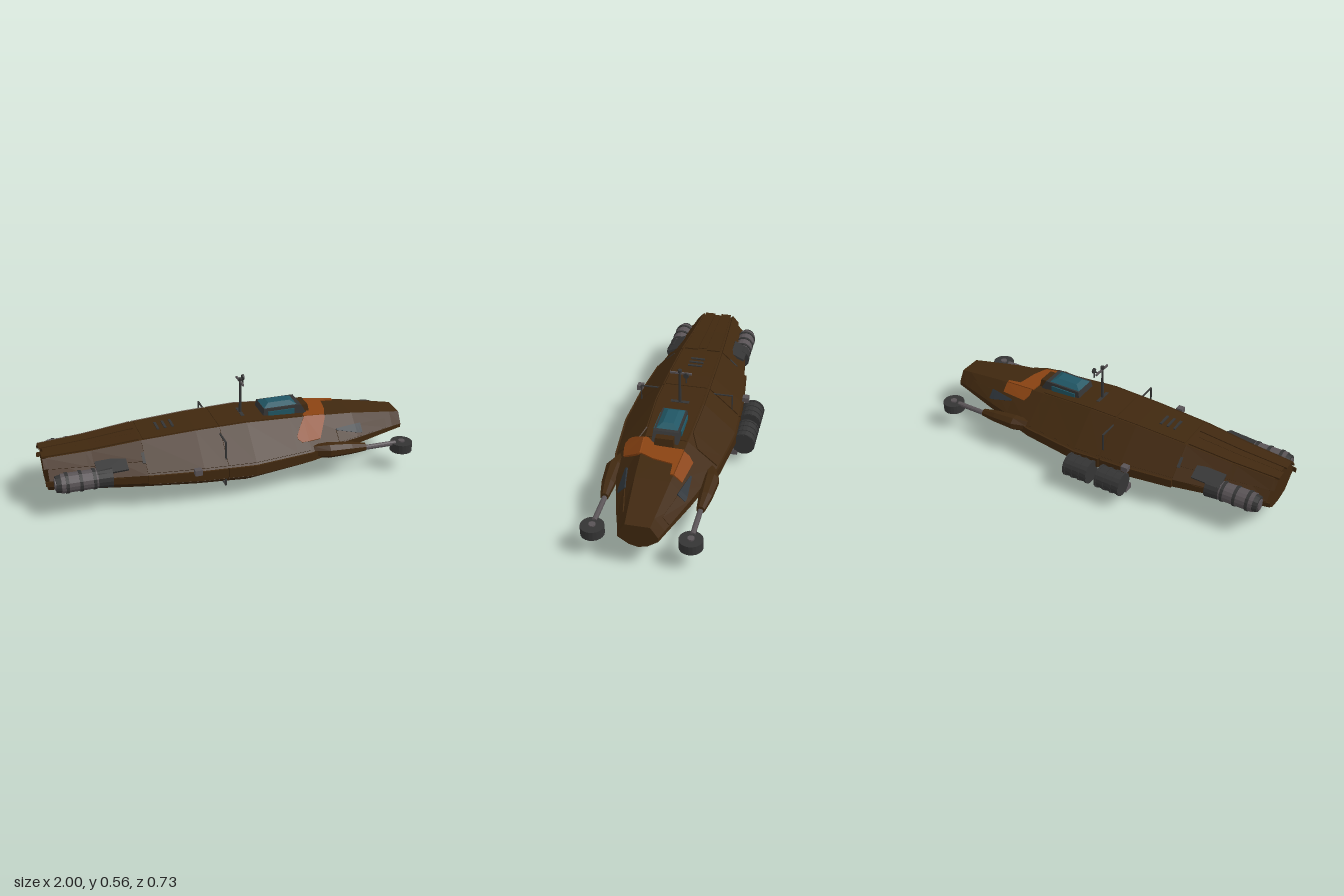
import * as THREE from 'three';

const CZ = 0.045; // centre line of the hull
const mat = (name, color) => Object.assign(new THREE.MeshStandardMaterial({ color, flatShading: true }), { name });

// hull stations: x, top, bottom, half width, top flat half width, bottom flat half width
const ST = [
  [-0.98, 0.296, 0.096, 0.165, 0.085, 0.08], [-0.75, 0.308, 0.073, 0.205, 0.098, 0.095],
  [-0.49, 0.333, 0.047, 0.255, 0.112, 0.11], [-0.2, 0.348, 0.02, 0.287, 0.12, 0.12],
  [0.08, 0.354, 0.002, 0.3, 0.125, 0.125], [0.4, 0.334, 0.036, 0.268, 0.112, 0.115],
  [0.7, 0.303, 0.078, 0.19, 0.09, 0.085], [0.94, 0.264, 0.117, 0.118, 0.068, 0.053],
  [1, 0.254, 0.126, 0.1, 0.062, 0.045],
];

function section(x) {
  let i = 0;
  while (i < ST.length - 2 && x > ST[i + 1][0]) i++;
  const a = ST[i], b = ST[i + 1], t = (x - a[0]) / (b[0] - a[0]);
  const [, top, bot, w, f, g] = a.map((v, k) => v + (b[k] - v) * t);
  const yu = bot + 0.54 * (top - bot), yl = bot + 0.38 * (top - bot);
  // edges: 0 upper slope, 1 side, 2 lower slope, 3-4 bottom, 5 lower slope, 6 side, 7 upper slope, 8 top
  return [[f, top], [w, yu], [w, yl], [g, bot + 0.01], [0, bot], [-g, bot + 0.01], [-w, yl], [-w, yu], [-f, top]]
    .map(([z, y]) => new THREE.Vector3(x, y, CZ + z));
}

// closed body through equal rings, ordered by growing x
function loft(rings) {
  const pos = [], n = rings[0].length;
  const tri = (...p) => p.forEach(v => pos.push(v.x, v.y, v.z));
  for (let i = 0; i < rings.length - 1; i++) for (let k = 0; k < n; k++) {
    const a = rings[i][k], b = rings[i][(k + 1) % n], c = rings[i + 1][(k + 1) % n], d = rings[i + 1][k];
    tri(a, b, c); tri(a, c, d);
  }
  const s = rings[0], e = rings[rings.length - 1];
  for (let k = 1; k < n - 1; k++) { tri(s[0], s[k + 1], s[k]); tri(e[0], e[k], e[k + 1]); }
  const g = new THREE.BufferGeometry();
  g.setAttribute('position', new THREE.Float32BufferAttribute(pos, 3));
  g.computeVertexNormals();
  return g;
}

// plate lying on one hull edge; rows are [x, s0, s1] along that edge
function plateGeometry(edge, rows, h) {
  const all = [];
  rows.forEach((r, i) => {
    all.push(r);
    const q = rows[i + 1];
    if (q) ST.forEach(s => {
      if (s[0] > r[0] + 1e-4 && s[0] < q[0] - 1e-4) {
        const t = (s[0] - r[0]) / (q[0] - r[0]);
        all.push([s[0], r[1] + (q[1] - r[1]) * t, r[2] + (q[2] - r[2]) * t]);
      }
    });
  });
  return loft(all.map(([x, s0, s1]) => {
    const s = section(x), a = s[edge], b = s[(edge + 1) % 9], d = b.clone().sub(a).normalize();
    const n = new THREE.Vector3(0, d.z, -d.y);
    const at = (t, o) => a.clone().lerp(b, t).addScaledVector(n, o);
    return [at(s0, h), at(s1, h), at(s1, -0.003), at(s0, -0.003)];
  }));
}

export function createModel() {
  const root = new THREE.Group();
  const hullM = mat('hull brown', 0x40280f), orange = mat('rust orange', 0x8a4312), dark = mat('dark grey', 0x343434);
  const grey = mat('worn grey', 0x595356), teal = mat('canopy teal', 0x205664), slate = mat('window slate', 0x2b3238);
  const add = (name, geo, m, x = 0, y = 0, z = 0) => {
    const o = new THREE.Mesh(geo, m);
    o.name = name; o.position.set(x, y, z); root.add(o);
    return o;
  };
  const box = (name, m, x, y, z, w, h, d) => add(name, new THREE.BoxGeometry(w, h, d), m, x, y, z);
  const cyl = (name, m, axis, r0, r1, len, x, y, z, n = 16) => {
    const g = new THREE.CylinderGeometry(r1, r0, len, n);
    if (axis === 'x') g.rotateZ(-Math.PI / 2);
    if (axis === 'z') g.rotateX(Math.PI / 2);
    return add(name, g, m, x, y, z);
  };
  const plate = (name, m, edge, rows, h = 0.006) => add(name, plateGeometry(edge, rows, h), m);
  // the same plate on both sides
  const pair = (name, m, edge, rows, h) => {
    plate(name, m, edge, rows, h);
    plate(name, m, 7 - edge, rows.map(([x, a, b]) => [x, 1 - b, 1 - a]), h);
  };

  add('hull', loft(ST.map(s => section(s[0]))), hullM);

  // armour plates
  plate('topRearPlate', hullM, 8, [[-1, 0.04, 0.38], [-0.5, 0.04, 0.38]], 0.007);
  plate('topRearPlate', hullM, 8, [[-0.985, 0.4, 0.6], [-0.52, 0.4, 0.6]], 0.005);
  plate('topRearPlate', hullM, 8, [[-1, 0.62, 0.96], [-0.5, 0.62, 0.96]], 0.007);
  plate('topMidPlate', hullM, 8, [[-0.48, 0.03, 0.97], [-0.08, 0.03, 0.97]], 0.004);
  plate('topFrontPlate', hullM, 8, [[-0.07, 0.03, 0.97], [0.4, 0.03, 0.97]], 0.004);
  pair('rearShoulderPlate', hullM, 0, [[-1, 0.03, 0.5], [-0.78, 0.03, 0.55], [-0.5, 0.03, 0.6]], 0.007);
  pair('shoulderPlate', hullM, 0, [[-0.49, 0.03, 0.95], [-0.08, 0.03, 0.95]], 0.006);
  pair('shoulderPlate', hullM, 0, [[-0.07, 0.03, 0.95], [0.32, 0.03, 0.95], [0.4, 0.3, 0.95]], 0.006);
  pair('sideBelt', hullM, 1, [[-0.49, 0, 1], [-0.08, 0, 1]], 0.01);
  pair('sideBelt', hullM, 1, [[-0.07, 0, 1], [0.5, 0, 1]], 0.01);
  pair('noseShoulderPlate', hullM, 0, [[0.58, 0.55, 0.97], [0.9, 0.4, 0.97]], 0.004);
  pair('lowerPlate', hullM, 2, [[-0.45, 0.05, 0.5], [-0.08, 0.05, 0.6]], 0.005);
  pair('lowerPlate', hullM, 2, [[-0.07, 0.05, 0.6], [0.38, 0.05, 0.5]], 0.005);
  pair('rearSidePlate', hullM, 1, [[-1, 0.1, 0.9], [-0.6, 0.1, 0.9]], 0.004);

  // painted band across the bow
  plate('bowStripe', orange, 8, [[0.41, 0.92, 1], [0.465, 0.66, 1], [0.47, 0, 1], [0.53, 0, 1], [0.56, 0, 0.66], [0.58, 0, 0.13], [0.655, 0, 0.08]], 0.007);
  plate('bowStripeRight', orange, 7, [[0.48, 0.8, 1], [0.5, 0.62, 1], [0.655, 0.62, 1]], 0.007);
  plate('bowStripeLeft', orange, 0, [[0.34, 0.52, 0.6], [0.36, 0.35, 0.7], [0.41, 0, 0.7], [0.47, 0, 0.7], [0.53, 0, 0.08]], 0.009);
  plate('lowerStripe', orange, 5, [[0.42, 0.05, 0.97], [0.55, 0.05, 0.97]], 0.007);

  // side windows, vents and hatch lines
  pair('sideWindow', slate, 0, [[0.58, 0.5, 0.56], [0.72, 0.45, 0.85], [0.735, 0.45, 0.85]], 0.007);
  for (let i = 0; i < 3; i++) box('vent', dark, -0.38 + i * 0.04, 0.346 + i * 0.002, CZ, 0.013, 0.006, 0.08);
  pair('hatchSeam', dark, 0, [[-0.505, 0.35, 0.65], [-0.49, 0.35, 0.65]], 0.008);
  plate('mastHatch', dark, 8, [[0.075, 0.3, 0.7], [0.095, 0.3, 0.7]], 0.006);

  // canopy
  const frustum = (x0, x1, x2, x3, y0, y1, w0, w1) => {
    const q = (x, y, w) => new THREE.Vector3(x, y, CZ + w);
    const end = (xb, xt) => [q(xt, y1, w1), q(xb, y0, w0), q(xb, y0, -w0), q(xt, y1, -w1)];
    return loft([end(x0, x1), end(x3, x2)]);
  };
  add('canopyFrame', frustum(0.19, 0.2, 0.41, 0.44, 0.335, 0.386, 0.07, 0.066), dark);
  add('canopyGlass', frustum(0.2, 0.235, 0.355, 0.39, 0.385, 0.404, 0.058, 0.028), teal);
  for (const s of [-1, 1]) box('canopySideGlass', teal, 0.295, 0.356, CZ + s * 0.071, 0.15, 0.03, 0.006);
  add('canopyCowl', frustum(0.38, 0.38, 0.455, 0.465, 0.32, 0.372, 0.053, 0.047), hullM);

  // sensor mast
  cyl('mast', dark, 'y', 0.008, 0.006, 0.2, 0.085, 0.455, CZ, 8);
  cyl('mastCap', dark, 'y', 0.011, 0.011, 0.015, 0.085, 0.55, CZ, 8);
  box('mastCrossbar', grey, 0.085, 0.537, 0.039, 0.009, 0.01, 0.117);
  cyl('sensorDish', dark, 'x', 0.015, 0.015, 0.01, 0.113, 0.542, 0.005, 12);
  cyl('sensorStem', dark, 'y', 0.004, 0.004, 0.045, 0.113, 0.521, 0.005, 6);
  box('sensorLink', dark, 0.1, 0.537, 0.005, 0.03, 0.006, 0.006);

  for (const s of [-1, 1]) {
    const z = d => CZ + s * d;
    // engine
    const ez = z(0.193), ey = 0.197;
    cyl('engineCollar', dark, 'x', 0.052, 0.058, 0.075, -0.705, ey, ez);
    cyl('engineBody', grey, 'x', 0.051, 0.051, 0.2, -0.83, ey, ez);
    for (const x of [-0.76, -0.83, -0.9]) cyl('engineBand', dark, 'x', 0.055, 0.055, 0.016, x, ey, ez);
    cyl('engineNozzle', dark, 'x', 0.042, 0.05, 0.04, -0.935, ey, ez);
    cyl('engineExhaust', grey, 'x', 0.03, 0.03, 0.012, -0.955, ey, ez, 12);
    const cover = box('engineCover', dark, -0.665, 0.253, z(0.19), 0.16, 0.012, 0.085);
    cover.rotation.set(s * 0.45, 0, 0.06);

    // landing arm
    const ring = (x, y, d, hy, hz) => Array.from({ length: 8 }, (_, k) => {
      const a = (k + 0.5) * Math.PI / 4;
      return new THREE.Vector3(x, y + Math.cos(a) * hy, z(d) + Math.sin(a) * hz);
    });
    add('armFairing', loft([ring(0.42, 0.185, 0.235, 0.035, 0.03), ring(0.5, 0.187, 0.252, 0.042, 0.046),
      ring(0.63, 0.178, 0.25, 0.034, 0.036), ring(0.72, 0.168, 0.245, 0.022, 0.022)]), hullM);
    cyl('armRod', grey, 'x', 0.014, 0.014, 0.2, 0.8, 0.162, z(0.244), 10);
    cyl('footPad', dark, 'y', 0.06, 0.06, 0.05, 0.937, 0.141, z(0.244), 20);
    cyl('footHub', grey, 'y', 0.018, 0.018, 0.012, 0.937, 0.168, z(0.244), 10);

    // hand rail
    const rail = [[0.14, 0.325], [0.255, 0.325], [0.255, 0.075], [0.14, 0.075]];
    for (let i = 0; i < 3; i++) {
      const [a, b] = rail[i], [c, d] = rail[i + 1];
      box('rail', dark, -0.075, (b + d) / 2, z((a + c) / 2), 0.009, Math.abs(b - d) + 0.005, Math.abs(a - c) + 0.005);
    }
    // side lamp
    box('sideLamp', grey, -0.24, 0.207, z(0.304), 0.038, 0.03, 0.034);
  }

  // fuel drums on their rack
  for (const x of [-0.182, 0.015]) {
    cyl('drum', dark, 'x', 0.06, 0.06, 0.146, x, 0.132, -0.302, 18);
    for (const d of [-0.066, -0.022, 0.022, 0.066]) cyl('drumHoop', dark, 'x', 0.064, 0.064, 0.012, x + d, 0.132, -0.302, 18);
  }
  box('drumRack', grey, -0.083, 0.071, -0.245, 0.34, 0.032, 0.05);
  for (const x of [-0.2, 0.03]) box('rackBracket', dark, x, 0.1, -0.22, 0.03, 0.04, 0.06);
  return root;
}
